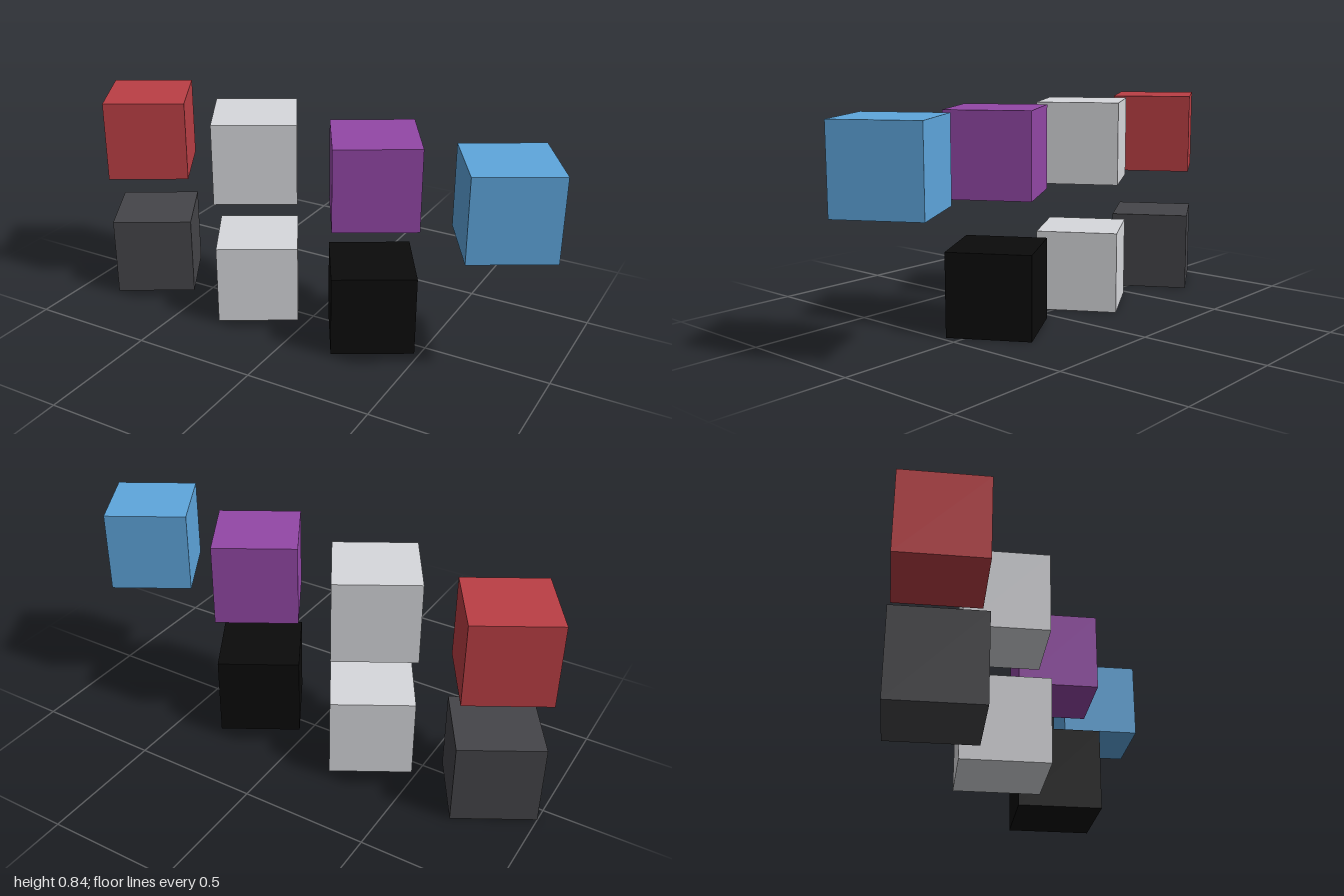
import * as THREE from 'three';

const SIDE = 0.324;   // cube edge
const STEP = 0.519;   // spacing between cube centres
const TURN = Math.PI / 6;

const makeMaterial = (name, color) => {
  const material = new THREE.MeshStandardMaterial({ color });
  material.name = name;
  return material;
};

export function createModel() {
  const red = makeMaterial('red', 0xbb3f45);
  const lightGrey = makeMaterial('lightGrey', 0xd7d8dc);
  const purple = makeMaterial('purple', 0x9347a6);
  const blue = makeMaterial('blue', 0x5ea6dd);
  const charcoal = makeMaterial('charcoal', 0x454549);
  const black = makeMaterial('black', 0x0b0b0b);

  // Rows from bottom to top, cubes from -x to +x
  const rows = [
    { name: 'lowerRow', materials: [charcoal, lightGrey, black] },
    { name: 'upperRow', materials: [red, lightGrey, purple, blue] },
  ];

  const model = new THREE.Group();
  model.name = 'cubeGrid';
  const geometry = new THREE.BoxGeometry(SIDE, SIDE, SIDE);

  rows.forEach(({ name, materials }, level) => {
    const row = new THREE.Group();
    row.name = name;
    row.position.y = SIDE / 2 + level * STEP;
    materials.forEach((material, i) => {
      // Every cube is turned about its own vertical axis
      const cube = new THREE.Mesh(geometry, material);
      cube.name = `${material.name}Cube`;
      cube.position.x = (i - 1.5) * STEP;
      cube.rotation.y = TURN;
      row.add(cube);
    });
    model.add(row);
  });
  return model;
}
